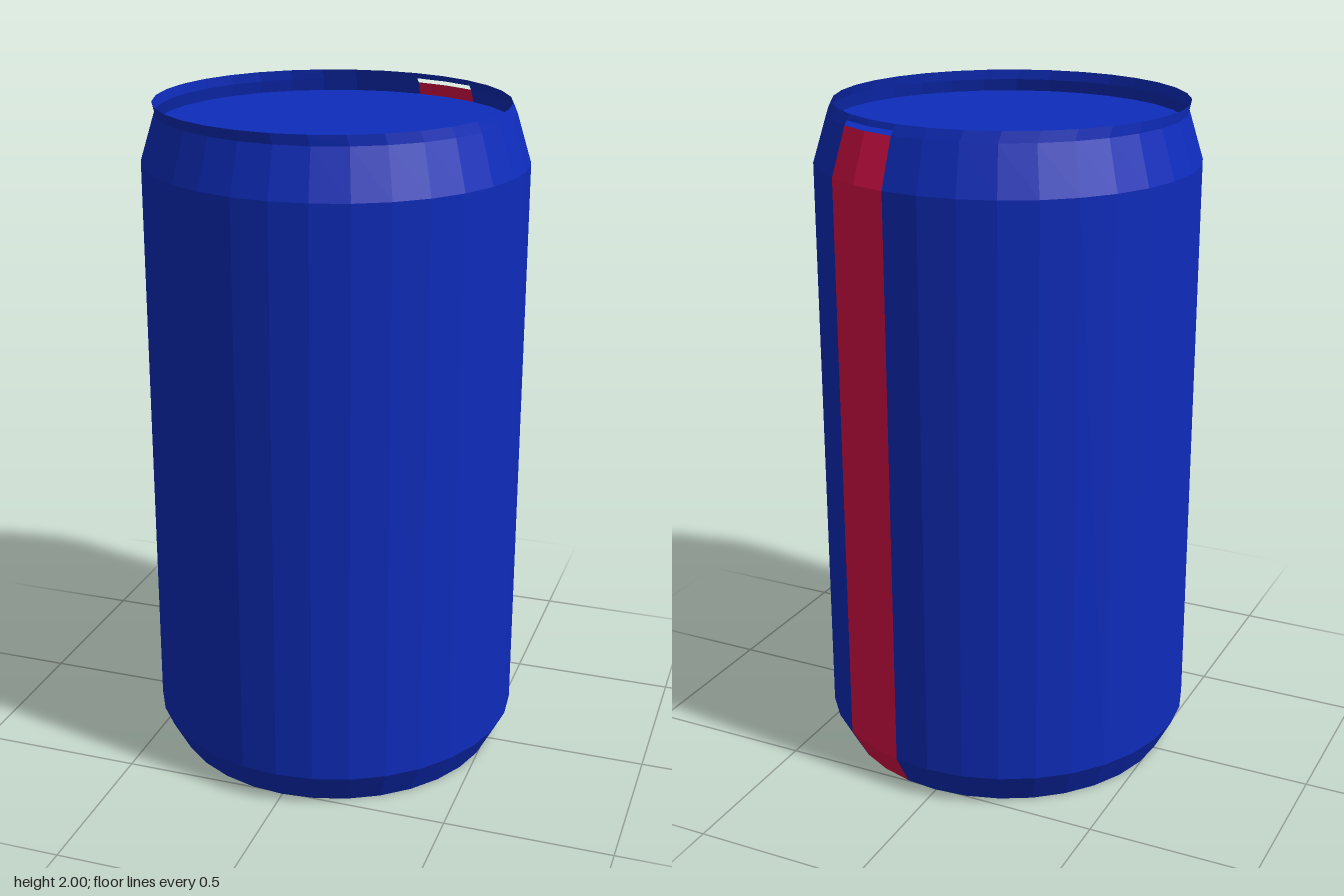
import * as THREE from 'three';

const SIDES = 32;
const STEP = (Math.PI * 2) / SIDES;
const STRIPE_START = STEP * 13; // two facets on the back
const STRIPE_SIDES = 2;

const paint = (color) =>
  new THREE.MeshStandardMaterial({ color, flatShading: true, side: THREE.DoubleSide });
const blue = paint(0x0e2cbc);
const red = paint(0xdc1048);

// Thin faceted shell swept over part of the circle
function shell(name, profile, first, sides, material) {
  const points = profile.map(([r, y]) => new THREE.Vector2(r, y));
  const geometry = new THREE.LatheGeometry(points, sides, first, sides * STEP);
  const mesh = new THREE.Mesh(geometry, material);
  mesh.name = name;
  return mesh;
}

// The upper edge of the rim sits slightly off-centre
function shiftTop(mesh) {
  const p = mesh.geometry.attributes.position;
  for (let i = 0; i < p.count; i++) {
    const t = THREE.MathUtils.clamp((p.getY(i) - 1.97) / 0.03, 0, 1);
    p.setXYZ(i, p.getX(i) - 0.008 * t, p.getY(i), p.getZ(i) + 0.008 * t);
  }
  return mesh;
}

export function createModel() {
  const can = new THREE.Group();
  can.name = 'drinkCan';

  // Wall: bottom taper, straight side and shoulder, open underneath
  const wall = [[0.507, 0], [0.56, 0.1], [0.56, 1.83], [0.517, 1.97]];
  const restStart = STRIPE_START + STRIPE_SIDES * STEP;
  const restSides = SIDES - STRIPE_SIDES;
  can.add(shell('body', wall, restStart, restSides, blue));
  can.add(shell('stripe', wall, STRIPE_START, STRIPE_SIDES, red));

  // Rim, with a narrow slit above the stripe
  can.add(shiftTop(shell('rim', [[0.517, 1.97], [0.513, 2]], restStart, restSides, blue)));
  can.add(shiftTop(shell('rimAboveStripe', [[0.515, 1.983], [0.513, 2]], STRIPE_START, STRIPE_SIDES, blue)));

  // Recessed lid
  const lid = new THREE.Mesh(new THREE.CircleGeometry(0.517, SIDES), blue);
  lid.name = 'lid';
  lid.rotation.x = -Math.PI / 2;
  lid.position.y = 1.935;
  can.add(lid);

  return can;
}
